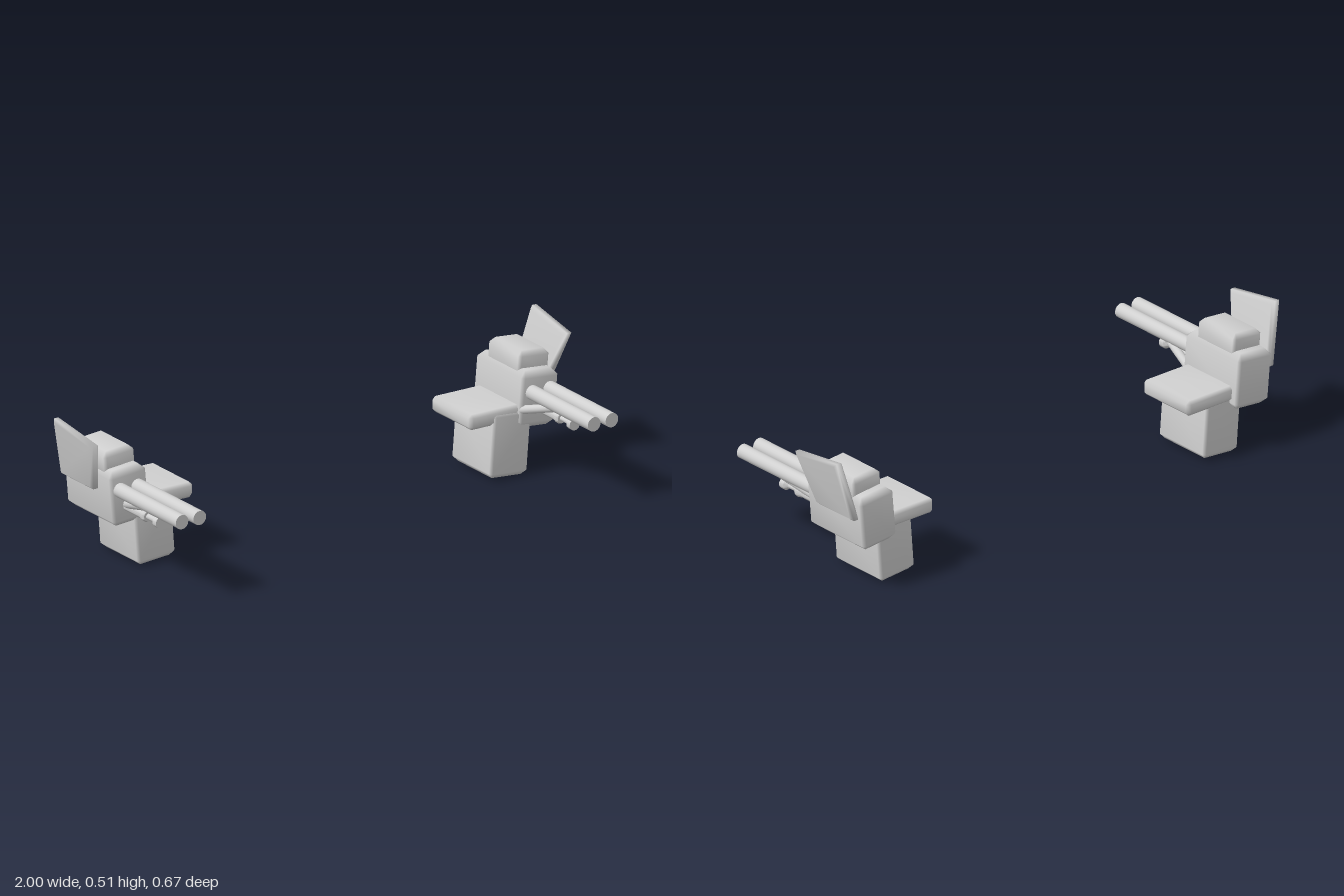
import * as THREE from 'three';
import { mergeVertices, toCreasedNormals } from 'three/addons/utils/BufferGeometryUtils.js';
import { ConvexGeometry } from 'three/addons/geometries/ConvexGeometry.js';

const grey = new THREE.MeshStandardMaterial({ color: 0xd0d0d0 });
grey.name = 'lightGrey';

// Convex hull with shading that rolls smoothly over the bevels
function smoothHull(pts) {
  const hull = new ConvexGeometry(pts);
  hull.deleteAttribute('normal');
  const geo = mergeVertices(hull, 1e-4);
  geo.computeVertexNormals();
  return geo;
}

// Box with its edges cut: c for the top and bottom edges, e for the upright ones
function chamferBox(w, h, d, c, e) {
  const pts = [];
  for (const sx of [-1, 1]) for (const sy of [-1, 1]) for (const sz of [-1, 1]) {
    const x = sx * w / 2, y = sy * h / 2, z = sz * d / 2;
    pts.push(
      new THREE.Vector3(x, y - sy * c, z - sz * e),
      new THREE.Vector3(x - sx * c, y, z - sz * c),
      new THREE.Vector3(x - sx * e, y - sy * c, z));
  }
  return smoothHull(pts);
}

// Leaning shield plate with bevelled rims, from its side outline of [z, y]
function shieldGeometry(side) {
  const outline = [[-0.06, 0.475], [-0.285, 0.508], [-0.315, 0.288], [-0.124, 0.288]];
  const pts = [];
  for (const [t, k] of [[-0.018, 0.91], [-0.009, 1], [0.009, 1], [0.018, 0.91]]) {
    for (const [z0, y0] of outline) {
      const z = -0.196 + (z0 + 0.196) * k, y = 0.39 + (y0 - 0.39) * k;
      pts.push(new THREE.Vector3(side * (0.958 + (y - 0.4) * 0.24 + t), y, z));
    }
  }
  return smoothHull(pts);
}

// Cylinder running between two points
function rod(a, b, r) {
  const dir = b.clone().sub(a);
  const geo = new THREE.CylinderGeometry(r, r, dir.length(), 20);
  geo.applyQuaternion(new THREE.Quaternion().setFromUnitVectors(
    new THREE.Vector3(0, 1, 0), dir.normalize()));
  const mid = a.clone().add(b).multiplyScalar(0.5);
  return geo.translate(mid.x, mid.y, mid.z);
}

function buildTurret(side) {
  const turret = new THREE.Group();
  turret.name = side > 0 ? 'leftTurret' : 'rightTurret';
  const add = (name, geo, x = 0, y = 0, z = 0, tilt = 0) => {
    const mesh = new THREE.Mesh(geo, grey);
    mesh.name = name;
    mesh.position.set(side * x, y, z);
    mesh.rotation.z = -side * tilt;
    turret.add(mesh);
  };
  const at = (x, y, z) => new THREE.Vector3(side * x, y, z);

  // Housing blocks
  add('lowerBlock', chamferBox(0.155, 0.24, 0.242, 0.018, 0.01), 0.733, 0.124, -0.174, 0.08);
  add('sidePlate', chamferBox(0.24, 0.056, 0.245, 0.012, 0.014), 0.689, 0.229, -0.182);
  add('gunHousing', chamferBox(0.15, 0.204, 0.288, 0.023, 0.011), 0.842, 0.268, -0.188, 0.09);
  add('topBlock', chamferBox(0.125, 0.1, 0.195, 0.018, 0.01), 0.852, 0.378, -0.187, 0.09);
  add('shield', shieldGeometry(side));

  // Twin barrels with their slanted struts
  for (const x of [0.812, 0.885]) {
    add('barrel', rod(at(x, 0.299, -0.1), at(x, 0.299, 0.334), 0.026));
    add('strut', rod(at(x + 0.008, 0.291, 0.115), at(x - 0.035, 0.234, -0.07), 0.015));
  }

  // Small gun below the barrels, with a flared muzzle
  const profile = [[0, -0.08], [0.018, -0.08], [0.018, 0.05], [0.022, 0.065], [0.022, 0.074],
    [0.018, 0.081], [0.01, 0.081], [0.01, 0.122], [0.021, 0.136], [0.021, 0.157], [0, 0.157]];
  const gun = new THREE.LatheGeometry(profile.map(([r, y]) => new THREE.Vector2(r, y)), 20);
  add('smallGun', toCreasedNormals(gun.rotateX(Math.PI / 2), 0.6), 0.852, 0.235, 0);
  return turret;
}

export function createModel() {
  const model = new THREE.Group();
  model.name = 'turretPair';
  for (const side of [1, -1]) model.add(buildTurret(side));
  return model;
}
